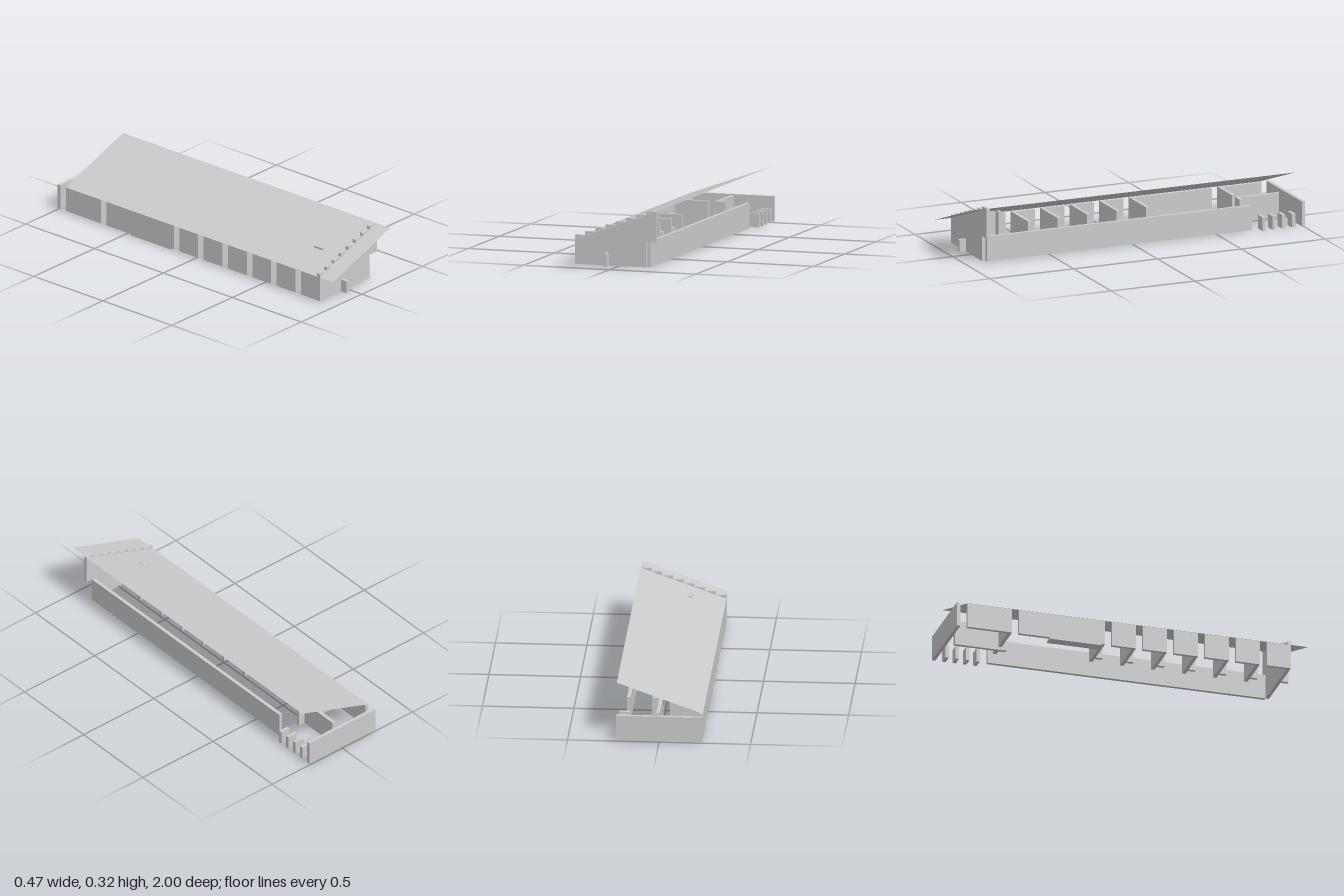
import * as THREE from 'three';

const U = 0.0196;          // wall thickness, the plan's module
const BASE = 0.008;        // underside of the walls
const TOP = 0.148;         // regular wall height
const LOW = 0.078;         // low door posts
const X = 12 * U;          // half width of the building

export function createModel() {
  const model = new THREE.Group();
  const material = new THREE.MeshStandardMaterial({ color: 0xcccccc, flatShading: true });

  // box from its limits
  const box = (name, x0, x1, z0, z1, y1 = TOP, y0 = BASE) => {
    const mesh = new THREE.Mesh(new THREE.BoxGeometry(x1 - x0, y1 - y0, z1 - z0), material);
    mesh.name = name;
    mesh.position.set((x0 + x1) / 2, (y0 + y1) / 2, (z0 + z1) / 2);
    model.add(mesh);
    return mesh;
  };

  // single-pitch roof sheet
  const eave = 0.149, ridge = 0.317;
  const roofGeometry = new THREE.PlaneGeometry(Math.hypot(2 * X, ridge - eave), 1.94).rotateX(-Math.PI / 2);
  const roofMaterial = material.clone();
  roofMaterial.side = THREE.DoubleSide;
  const roof = new THREE.Mesh(roofGeometry, roofMaterial);
  roof.name = 'roof';
  roof.rotation.z = Math.atan2(ridge - eave, 2 * X);
  roof.position.set(0, (eave + ridge) / 2, 0.03);
  model.add(roof);

  // stepped front wall, with the doorway under its highest step
  const front = 0.902;
  for (let i = 0; i < 8; i++) {
    const x = -X + i * 3 * U;
    box('frontWallStep', x, x + 3 * U, front - U, front, 0.169 + i * 0.0211, i === 7 ? TOP : BASE);
  }
  box('frontPost', -3 * U, -2 * U, front, front + 2 * U, LOW);

  // back wall and long corridor wall
  box('backWall', -X, X, -1, -1 + U);
  box('corridorWall', 9 * U, 10 * U, -0.70, front - U);

  // row of cells: outer wall, partition and door post
  for (let i = 0; i < 6; i++) {
    const z = front - i * 9 * U;
    box('cellOuterWall', -X, -X + U, z - 7 * U, i ? z - U : z - U);
    const p = z - 9 * U;
    box('cellPartition', -X, i ? 0 : -3 * U, p - U, p);
    const high = i ? LOW : 0.222;
    box('cellDoorPost', -3 * U, -2 * U, i ? p : p - U, p + 2 * U, high);
    if (!i) box('tallPartitionEnd', -2 * U, 0, p - U, p, high);
  }

  // hall beyond the cells, with its threshold slab
  const hall = front - 54 * U;
  box('hallOuterWall', -X, -X + U, hall - 25 * U, hall - U);
  box('threshold', -X, -X + 3 * U, -0.47, -0.176, BASE, 0);

  // rear room
  const room = hall - 27 * U, rear = -0.941;
  box('rearOuterWall', -X, -X + U, rear, room - U);
  box('rearPartition', -X, -2 * U, room - U, room);
  box('rearPartitionEnd', 0, 3 * U, room - U, room);
  box('rearDoorPost', 0, U, room, room + 2 * U, LOW);
  box('rearInnerWall', 0, U, rear, room - U);

  // low dividers by the back entrance
  for (let i = 0; i < 4; i++) {
    const z = rear + i * 3 * U;
    box('lowDivider', 9 * U, X, z, z + U, 0.085);
  }
  return model;
}
